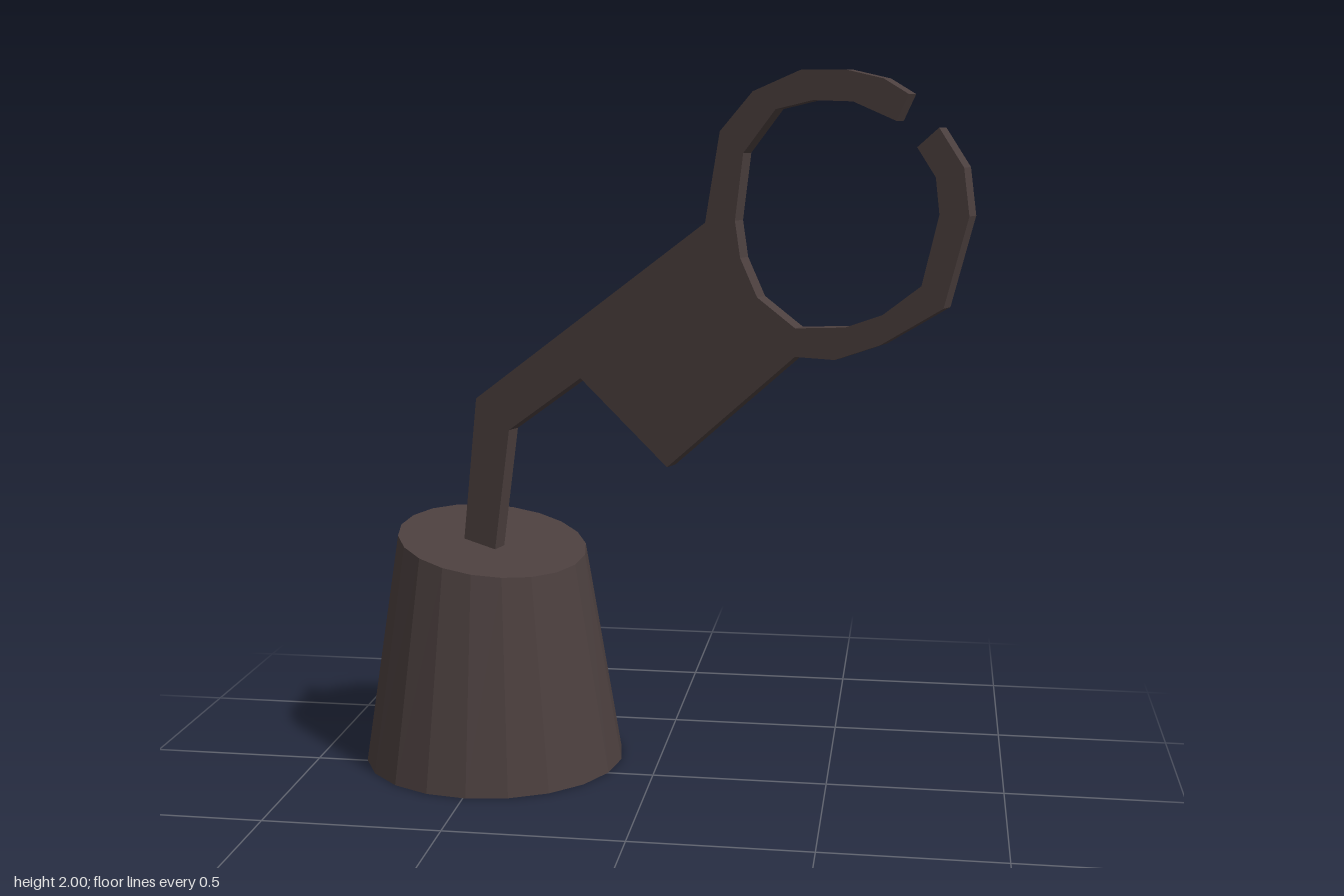
import * as THREE from 'three';

export function createModel() {
  const model = new THREE.Group();
  const iron = new THREE.MeshStandardMaterial({ color: 0x4b3f3e, flatShading: true, side: THREE.DoubleSide });
  iron.name = 'dark iron';

  // Tapered base: open underneath, with a top that slopes down to the front left
  const SIDES = 20, HEIGHT = 0.655, TOP_R = 0.275;
  const slope = (x, z) => HEIGHT - 0.13 * x - 0.135 * z;
  const base = new THREE.Group();
  base.name = 'base';
  base.position.set(-0.492, 0, -0.12);
  model.add(base);

  const wall = new THREE.CylinderGeometry(TOP_R, 0.38, HEIGHT, SIDES, 1, true);
  wall.translate(0, HEIGHT / 2, 0);
  const cap = new THREE.CircleGeometry(TOP_R, SIDES);
  cap.rotateX(-Math.PI / 2);
  cap.translate(0, HEIGHT, 0);
  for (const [name, geometry] of [['baseWall', wall], ['baseTop', cap]]) {
    const p = geometry.attributes.position;
    for (let i = 0; i < p.count; i++) {
      if (p.getY(i) > HEIGHT / 2) p.setY(i, slope(p.getX(i), p.getZ(i)));
    }
    geometry.computeVertexNormals();
    const mesh = new THREE.Mesh(geometry, iron);
    mesh.name = name;
    base.add(mesh);
  }

  // Flat arm: bent stem, square web and an open ring, cut from one plate
  const TURN = Math.PI / 8, THICK = 0.045;
  const stemOuter = [[-0.565, 0.63], [-0.515, 1.08]];
  const ringOuterTop = [
    [0.178, 1.608], [0.217, 1.845], [0.305, 1.947], [0.43, 2], [0.545, 2], [0.64, 1.978], [0.703, 1.94],
  ];
  const ringInner = [
    [0.674, 1.875], [0.565, 1.922], [0.463, 1.925], [0.366, 1.902], [0.281, 1.79], [0.26, 1.616],
    [0.275, 1.52], [0.322, 1.42], [0.425, 1.346], [0.555, 1.357], [0.65, 1.395], [0.745, 1.473],
    [0.784, 1.65], [0.773, 1.74], [0.726, 1.812],
  ];
  const ringOuterLow = [
    [0.778, 1.86], [0.84, 1.765], [0.856, 1.648], [0.8, 1.42], [0.645, 1.318], [0.53, 1.272], [0.425, 1.272],
  ];
  const webAndStem = [[0.072, 0.943], [-0.185, 1.166], [-0.41, 0.998], [-0.462, 0.63]];
  const outline = [...stemOuter, ...ringOuterTop, ...ringInner, ...ringOuterLow, ...webAndStem];

  // Widths are given along x, so stretch them to lie along the turned plate
  const shape = new THREE.Shape(outline.map(([x, y]) => new THREE.Vector2(x / Math.cos(TURN), y)));
  const plate = new THREE.ExtrudeGeometry(shape, { depth: THICK, bevelEnabled: false });
  plate.translate(0, 0, -THICK / 2);
  const arm = new THREE.Mesh(plate, iron);
  arm.name = 'ringArm';
  arm.rotation.y = -TURN;
  arm.position.z = 0.12;
  model.add(arm);

  return model;
}
